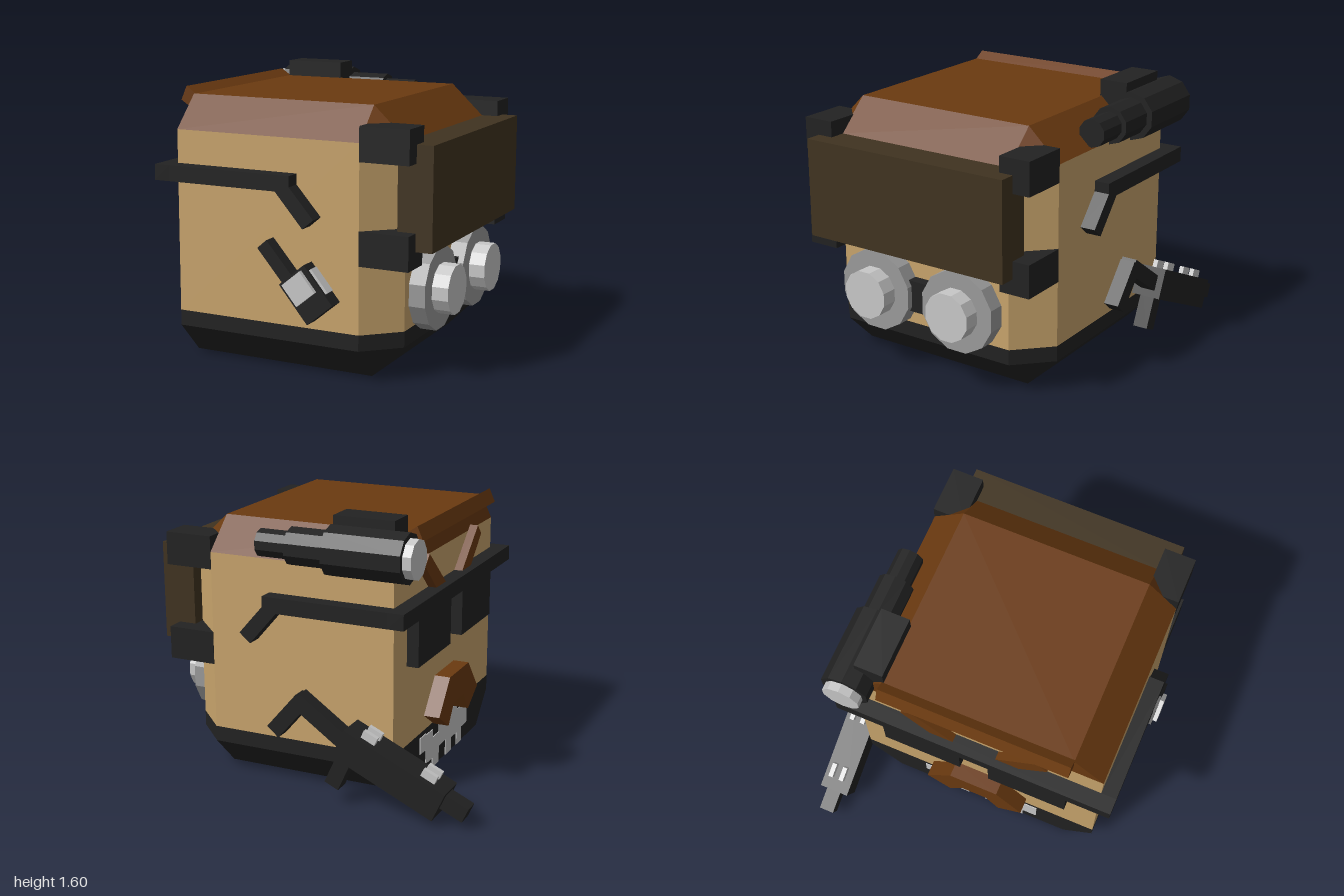
import * as THREE from 'three';

const mat = (name, color) => {
  const m = new THREE.MeshStandardMaterial({ color });
  m.name = name;
  return m;
};

export function createModel() {
  const tan = mat('tan', 0xc8a46c);
  const brown = mat('brown', 0x6b3a10);
  const black = mat('black', 0x222222);
  const olive = mat('olive', 0x403320);
  const grey = mat('grey', 0x9a9a9a);
  const light = mat('lightGrey', 0xc8c8c8);
  const root = new THREE.Group();
  const MID = 0.03; // mirror plane of the head in z

  const add = (name, geo, material, parent = root) => {
    const m = new THREE.Mesh(geo, material);
    m.name = name;
    parent.add(m);
    return m;
  };
  // Box given by its min and max on each axis
  const box = (name, material, [x0, x1], [y0, y1], [z0, z1], parent = root) => {
    const m = add(name, new THREE.BoxGeometry(x1 - x0, y1 - y0, z1 - z0), material, parent);
    m.position.set((x0 + x1) / 2, (y0 + y1) / 2, (z0 + z1) / 2);
    return m;
  };
  // Outline in x,y extruded from z0 to z1
  const shape = (pts) => new THREE.Shape(pts.map(([x, y]) => new THREE.Vector2(x, y)));
  const prism = (name, material, pts, z0, z1) => {
    const g = new THREE.ExtrudeGeometry(shape(pts), { depth: z1 - z0, bevelEnabled: false });
    return add(name, g.translate(0, 0, z0), material);
  };
  // Outline in z,y standing out from the face towards -x
  const facePart = (name, material, pts, depth) => {
    const g = new THREE.ExtrudeGeometry(shape(pts), { depth, bevelEnabled: false });
    return add(name, g.rotateY(-Math.PI / 2).translate(-0.5, 0, MID), material);
  };
  // Straight bar between two x,y points
  const bar = (name, material, [ax, ay], [bx, by], t, z0, z1, parent = root) => {
    const m = add(name, new THREE.BoxGeometry(Math.hypot(bx - ax, by - ay), t, z1 - z0), material, parent);
    m.position.set((ax + bx) / 2, (ay + by) / 2, (z0 + z1) / 2);
    m.rotation.z = Math.atan2(by - ay, bx - ax);
    return m;
  };
  // Cylinder along x
  const rod = (name, material, r, x0, x1, y, z, sides) => {
    const g = new THREE.CylinderGeometry(r, r, x1 - x0, sides, 1, false, Math.PI / sides).toNonIndexed();
    g.rotateZ(-Math.PI / 2).computeVertexNormals();
    const m = add(name, g, material);
    m.position.set((x0 + x1) / 2, y, z);
    return m;
  };

  // Head: bands between chamfered cross-sections, closed by flat caps
  const full = [[-0.5, 0.78], [0.62, 0.78], [0.81, 0.6], [0.81, -0.53], [0.62, -0.72], [-0.5, -0.72]];
  const small = [[-0.5, 0.6], [0.62, 0.6], [0.62, 0.6], [0.62, -0.53], [0.62, -0.53], [-0.5, -0.53]];
  const bands = (name, material, levels) => {
    const pos = [];
    const put = (loop, y, i) => pos.push(loop[i][0], y, loop[i][1]);
    for (let l = 0; l < levels.length - 1; l++) {
      const [lo, y0] = levels[l], [hi, y1] = levels[l + 1];
      for (let i = 0; i < 6; i++) {
        const j = (i + 1) % 6;
        put(lo, y0, i); put(lo, y0, j); put(hi, y1, j);
        put(lo, y0, i); put(hi, y1, j); put(hi, y1, i);
      }
    }
    const [bot, yb] = levels[0], [top, yt] = levels[levels.length - 1];
    for (let i = 1; i < 5; i++) {
      put(bot, yb, 0); put(bot, yb, i + 1); put(bot, yb, i);
      put(top, yt, 0); put(top, yt, i); put(top, yt, i + 1);
    }
    const g = new THREE.BufferGeometry();
    g.setAttribute('position', new THREE.Float32BufferAttribute(pos, 3));
    g.computeVertexNormals();
    return add(name, g, material);
  };
  bands('base', black, [[small, 0], [full, 0.19], [full, 0.28]]);
  bands('head', tan, [[full, 0.28], [full, 1.32]]);
  bands('hair', brown, [[full, 1.32], [small, 1.5]]);
  prism('hairFringe', brown, [[-0.49, 1.5], [-0.55, 1.54], [-0.585, 1.46], [-0.49, 1.4]], -0.53, 0.6);

  // Back pack with four corner brackets
  box('pack', olive, [0.8, 1], [0.75, 1.32], [-0.62, 0.69]);
  for (const y of [0.66, 1.22]) {
    box('bracket', black, [0.62, 0.905], [y, y + 0.19], [0.595, 0.783]);
    box('bracket', black, [0.62, 0.905], [y, y + 0.19], [-0.723, -0.535]);
  }

  // Thrusters under the pack
  for (const z of [0.315, -0.25]) {
    rod('thrusterRing', grey, 0.24, 0.81, 0.905, 0.47, z, 12);
    rod('thrusterCore', light, 0.142, 0.9, 1, 0.47, z, 12);
  }
  box('thrusterLink', black, [0.8, 0.87], [0.38, 0.565], [-0.08, 0.14]);

  // Sunglasses: bar, lenses and bent temples
  box('glassesBar', black, [-0.595, -0.5], [1.04, 1.13], [-0.81, 0.87]);
  const temple = [[-0.5, 1.04], [0.165, 1.04], [0.33, 0.85], [0.395, 0.905], [0.25, 1.07], [0.25, 1.13], [-0.5, 1.13]];
  prism('leftTemple', black, temple, 0.78, 0.87);
  prism('rightTemple', black, temple, -0.81, -0.72);

  // Mirrored face details
  for (const s of [-1, 1]) {
    const a = MID + s * 0.09, b = MID + s * 0.57;
    box('lens', black, [-0.57, -0.5], [0.75, 1.06], [Math.min(a, b), Math.max(a, b)]);
    facePart('eyebrow', brown, [[0.13, 1.13], [0.21, 1.07], [0.44, 1.29], [0.38, 1.35]].map(([z, y]) => [s * z, y]), 0.05);
  }
  const half = [[0.15, 0.565], [0.31, 0.37], [0.16, 0.27], [0.08, 0.39]];
  facePart('moustache', brown, [...half, ...half.map(([z, y]) => [-z, y]).reverse()], 0.095);

  // Stepped beard plates: z from, z to, y from, y to
  const beard = [[-0.34, -0.25, 0.15, 0.25], [-0.25, -0.15, 0.06, 0.24], [-0.15, -0.05, 0, 0.19],
    [-0.05, 0.06, 0.1, 0.25], [0.06, 0.15, 0, 0.27], [0.15, 0.24, 0.08, 0.27], [0.24, 0.32, 0, 0.23], [0.32, 0.41, 0.09, 0.25]];
  for (const [z0, z1, y0, y1] of beard) box('beard', light, [-0.505, -0.498], [y0, y1], [z0, z1]);

  // Torch on the upper back edge
  const ty = 1.41, tz = -0.72;
  rod('torchLens', light, 0.112, -0.64, -0.58, ty, tz, 10);
  rod('torchHead', black, 0.142, -0.59, -0.13, ty, tz, 10);
  rod('torchBody', black, 0.108, -0.14, 0.105, ty, tz, 10);
  rod('torchTail', black, 0.08, 0.1, 0.295, ty, tz, 10);
  box('torchMount', black, [-0.49, -0.13], [1.4, 1.595], [-0.69, -0.52]);

  // Blaster on the -z side, with a bent stock
  const gun = new THREE.Group();
  gun.name = 'blaster';
  root.add(gun);
  bar('blasterBody', black, [-0.84, 0.117], [-0.25, 0.386], 0.18, -0.9, -0.72, gun);
  bar('blasterBarrel', black, [-0.978, 0.082], [-0.8, 0.163], 0.09, -0.86, -0.77, gun);
  bar('blasterGrip', black, [-0.29, 0.33], [-0.19, 0.11], 0.09, -0.86, -0.77, gun);
  bar('blasterStock', black, [-0.3, 0.35], [0.03, 0.58], 0.09, -0.86, -0.77, gun);
  bar('blasterStockEnd', black, [-0.01, 0.58], [0.17, 0.37], 0.09, -0.86, -0.77, gun);
  for (const [x, y] of [[-0.77, 0.27], [-0.42, 0.43]]) {
    for (const z of [-0.865, -0.795]) {
      bar('blasterRail', light, [x - 0.04, y - 0.018], [x + 0.04, y + 0.018], 0.05, z, z + 0.028, gun);
    }
  }

  // Handset on the +z side
  bar('handsetAerial', black, [0.078, 0.742], [0.26, 0.53], 0.075, 0.78, 0.86);
  bar('handsetBody', black, [0.265, 0.595], [0.435, 0.39], 0.195, 0.78, 0.875);
  bar('handsetScreen', light, [0.265, 0.575], [0.37, 0.48], 0.14, 0.87, 0.9).rotation.z = -0.88;
  bar('handsetSide', light, [0.37, 0.632], [0.47, 0.512], 0.016, 0.795, 0.86);

  return root;
}
